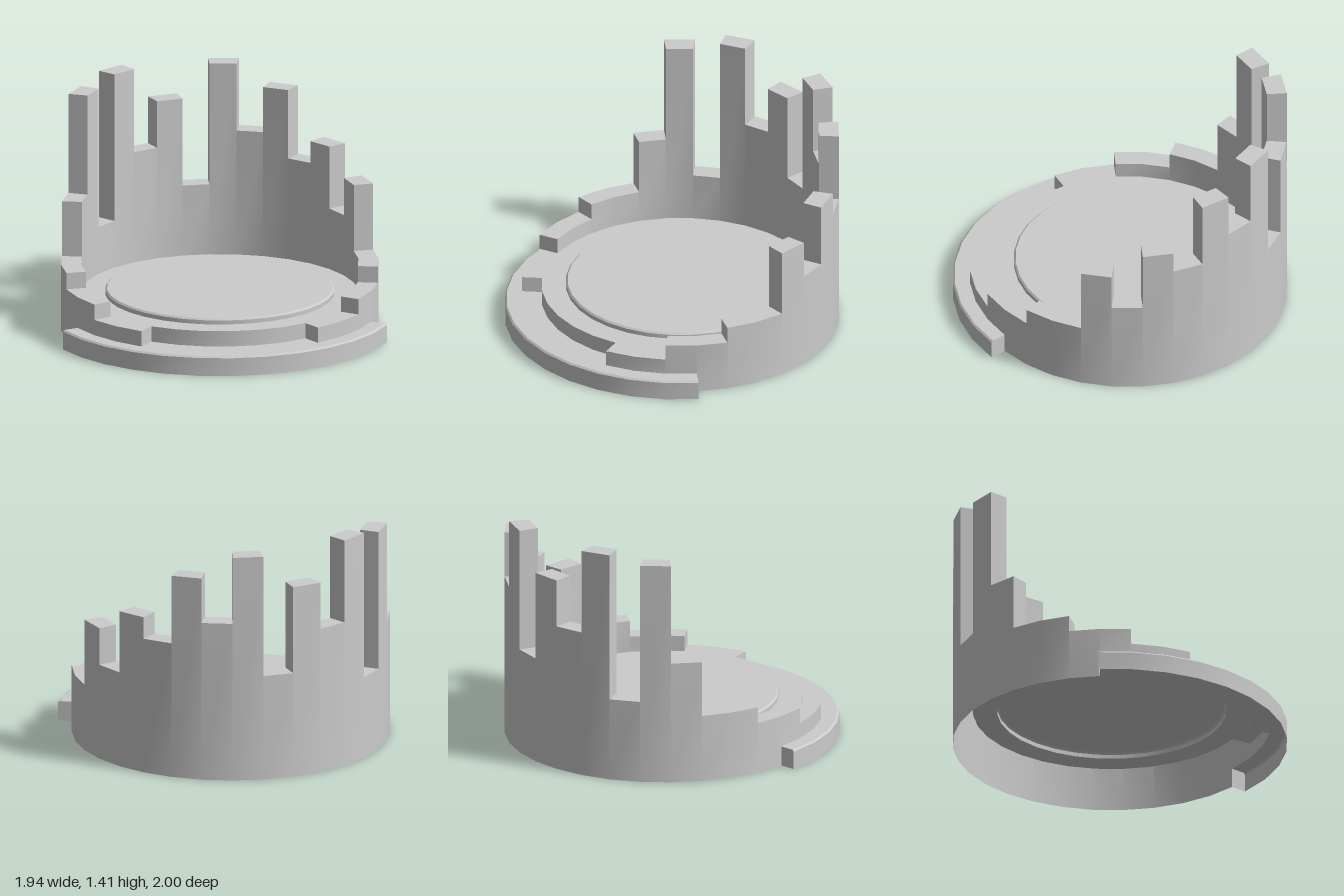
import * as THREE from 'three';
import { toCreasedNormals } from 'three/addons/utils/BufferGeometryUtils.js';

const SIDES = 32, CZ = -0.05;              // ring is a 32-gon, set back a little
const OUTER = 0.95, INNER = 0.83, LIP = 1.05;
const FLOOR_Y = 0.215, LIP_Y = 0.12, LIP_END = 6;

// Top height of each sector, going round from the front towards +x
const HEIGHTS = [
  0.12, 0.12, 0.12, 0.215, 0.215, 0.31, 0.31, 0.41, 0.41, 0.82, 0.59, 0.975, 0.84, 1.265, 0.985, 1.4,
  0.65, 1.19, 0.9, 1.415, 0.505, 1.365, 0.75, 0.41, 0.41, 0.31, 0.31, 0.215, 0.215, 0.12, 0.12, 0.12,
];

const material = new THREE.MeshStandardMaterial({ color: 0xcccccc, side: THREE.DoubleSide });

// Point at radius r, sector boundary i, height y
function at(r, i, y) {
  const a = (i / SIDES) * Math.PI * 2;
  return [r * Math.sin(a), y, CZ + r * Math.cos(a)];
}

// Collects faces and turns them into a mesh with sharp edges and smooth curves
function faceBuilder() {
  const pos = [];
  const tri = (a, b, c) => pos.push(...a, ...b, ...c);
  const quad = (a, b, c, d) => { tri(a, b, c); tri(a, c, d); };
  // Strip over one sector, from (r0, y0) to (r1, y1)
  const band = (i, r0, y0, r1, y1) =>
    quad(at(r0, i, y0), at(r0, i + 1, y0), at(r1, i + 1, y1), at(r1, i, y1));
  const mesh = (name) => {
    const g = new THREE.BufferGeometry();
    g.setAttribute('position', new THREE.Float32BufferAttribute(pos, 3));
    return named(g, name);
  };
  return { tri, quad, band, mesh };
}

function named(geometry, name) {
  const m = new THREE.Mesh(toCreasedNormals(geometry, 0.5), material);
  m.name = name;
  return m;
}

const hasLip = (i) => i < LIP_END || i >= SIDES - LIP_END;

// Stepped wall: outer face, top, inner face, and the ends between steps
function makeWall() {
  const f = faceBuilder();
  HEIGHTS.forEach((h, i) => {
    const base = hasLip(i) ? LIP_Y : 0;
    if (h > base) f.band(i, OUTER, base, OUTER, h);
    f.band(i, OUTER, h, INNER, h);
    if (h !== FLOOR_Y) f.band(i, INNER, h, INNER, FLOOR_Y);
    const prev = HEIGHTS[(i + SIDES - 1) % SIDES];
    if (prev !== h) f.quad(at(OUTER, i, h), at(INNER, i, h), at(INNER, i, prev), at(OUTER, i, prev));
  });
  return f.mesh('steppedWall');
}

// Front lip with a small chamfer and closed ends
function makeLip() {
  const f = faceBuilder();
  for (let i = -LIP_END; i < LIP_END; i++) {
    f.band(i, LIP, 0, LIP, 0.11);
    f.band(i, LIP, 0.11, LIP - 0.01, LIP_Y);
    f.band(i, LIP - 0.01, LIP_Y, OUTER, LIP_Y);
  }
  for (const i of [LIP_END, -LIP_END]) {
    const p = [at(LIP, i, 0), at(OUTER, i, 0), at(OUTER, i, LIP_Y), at(LIP - 0.01, i, LIP_Y), at(LIP, i, 0.11)];
    if (i < 0) p.reverse();
    f.quad(p[0], p[1], p[2], p[3]);
    f.tri(p[0], p[3], p[4]);
  }
  return f.mesh('frontLip');
}

// Floor with its raised, chamfered centre disc; open underneath
function makeFloor() {
  const profile = [[INNER, FLOOR_Y], [0.685, FLOOR_Y], [0.685, 0.24], [0.675, 0.25], [0, 0.25]]
    .map(([r, y]) => new THREE.Vector2(r, y));
  const floor = named(new THREE.LatheGeometry(profile, SIDES), 'floorAndDisc');
  floor.position.z = CZ;
  return floor;
}

export function createModel() {
  const group = new THREE.Group();
  group.name = 'steppedRingStand';
  group.add(makeWall(), makeLip(), makeFloor());
  return group;
}
